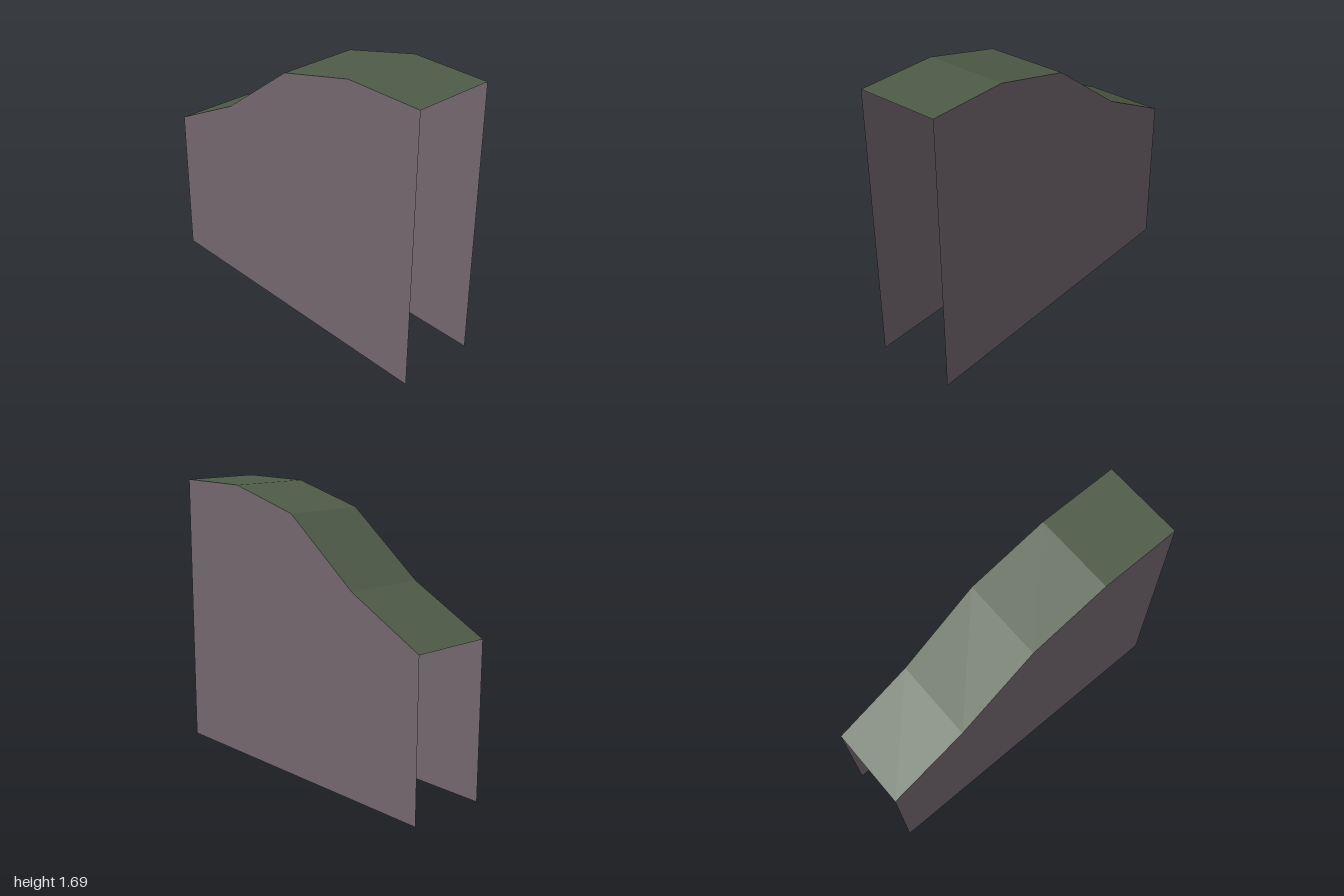
import * as THREE from 'three';

export function createModel() {
  const group = new THREE.Group();
  const stone = new THREE.MeshStandardMaterial({ color: 0x73676d, side: THREE.DoubleSide });
  stone.name = 'mauve stone';
  const grass = new THREE.MeshStandardMaterial({ color: 0x505c49, side: THREE.DoubleSide, flatShading: true });
  grass.name = 'moss green';

  // Ridge line of the slope, from low end to high end
  const ridge = [[-1, 0.94], [-0.5, 1.19], [0, 1.565], [0.5, 1.69], [1, 1.69]];
  const halfDepth = 0.25;

  // Two side walls, with open ends and an open bottom
  const outline = new THREE.Shape();
  outline.moveTo(-1, 0);
  outline.lineTo(1, 0);
  for (const [x, y] of [...ridge].reverse()) outline.lineTo(x, y);
  outline.closePath();
  for (const side of [1, -1]) {
    const wall = new THREE.Mesh(new THREE.ShapeGeometry(outline), stone);
    wall.name = side > 0 ? 'frontWall' : 'backWall';
    if (side < 0) wall.rotation.y = Math.PI;
    if (side < 0) wall.scale.x = -1;
    wall.position.z = side * halfDepth;
    group.add(wall);
  }

  // Top surface: a strip bent along the ridge line
  const strip = new THREE.PlaneGeometry(2, 2 * halfDepth, ridge.length - 1, 1);
  strip.rotateX(-Math.PI / 2);
  const pos = strip.attributes.position;
  for (let i = 0; i < pos.count; i++) {
    const [x, y] = ridge[i % ridge.length];
    pos.setXYZ(i, x, y, pos.getZ(i));
  }
  const flat = strip.toNonIndexed();
  flat.computeVertexNormals();
  const top = new THREE.Mesh(flat, grass);
  top.name = 'topSurface';
  group.add(top);

  return group;
}
